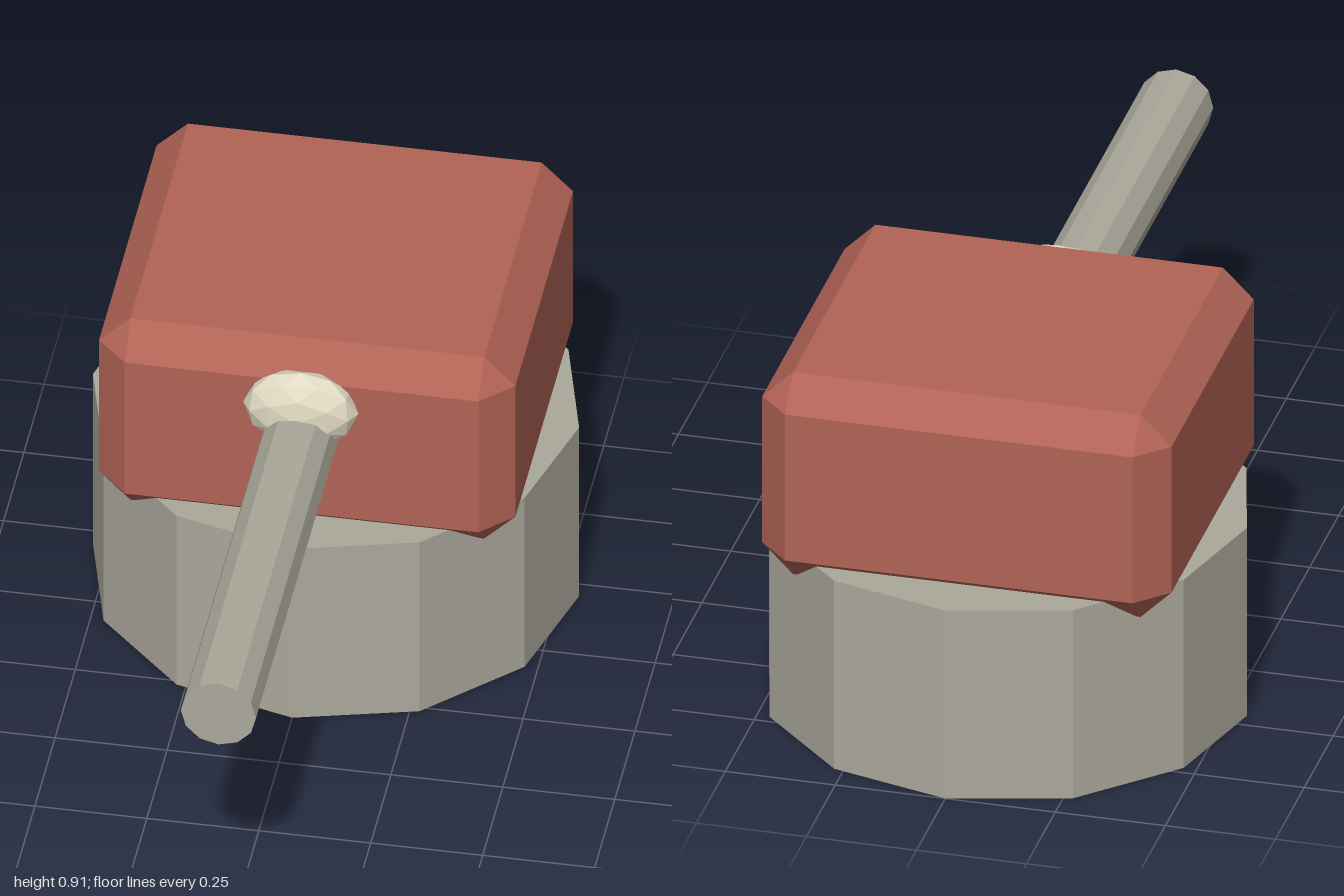
import * as THREE from 'three';
import { ConvexGeometry } from 'three/addons/geometries/ConvexGeometry.js';

const flat = (geometry) => {
  const g = geometry.index ? geometry.toNonIndexed() : geometry;
  g.computeVertexNormals();
  return g;
};

// Box with every edge cut at 45 degrees and triangular corners
function chamferedBox(w, h, d, c) {
  const half = [w / 2, h / 2, d / 2];
  const points = [];
  for (const sx of [-1, 1]) for (const sy of [-1, 1]) for (const sz of [-1, 1]) {
    for (let axis = 0; axis < 3; axis++) {
      const p = half.map((v, i) => (i === axis ? v : v - c));
      points.push(new THREE.Vector3(sx * p[0], sy * p[1], sz * p[2]));
    }
  }
  return new ConvexGeometry(points);
}

export function createModel() {
  const group = new THREE.Group();
  const material = (name, color) => {
    const m = new THREE.MeshStandardMaterial({ color });
    m.name = name;
    return m;
  };
  const stone = material('grey stone', 0xaba89b);
  const red = material('brick red', 0xb16355);
  const cream = material('cream', 0xe0d9c2);

  const add = (name, geometry, mat, x, y, z) => {
    const mesh = new THREE.Mesh(flat(geometry), mat);
    mesh.name = name;
    mesh.position.set(x, y, z);
    group.add(mesh);
    return mesh;
  };

  // Twelve-sided pedestal
  add('base', new THREE.CylinderGeometry(0.543, 0.543, 0.468, 12), stone, 0, 0.234, -0.457);

  // Chamfered housing sunk slightly into the pedestal
  add('turret', chamferedBox(0.93, 0.503, 0.853, 0.07), red, 0, 0.661, -0.457);

  // Long barrel pointing forward
  const barrel = new THREE.CylinderGeometry(0.084, 0.084, 1.08, 12);
  barrel.rotateX(Math.PI / 2);
  add('barrel', barrel, stone, 0, 0.702, 0.46);

  // Flattened faceted boss above the barrel root
  const boss = new THREE.IcosahedronGeometry(1, 1);
  boss.scale(0.129, 0.096, 0.06);
  add('boss', boss, cream, 0, 0.778, -0.022);

  return group;
}
